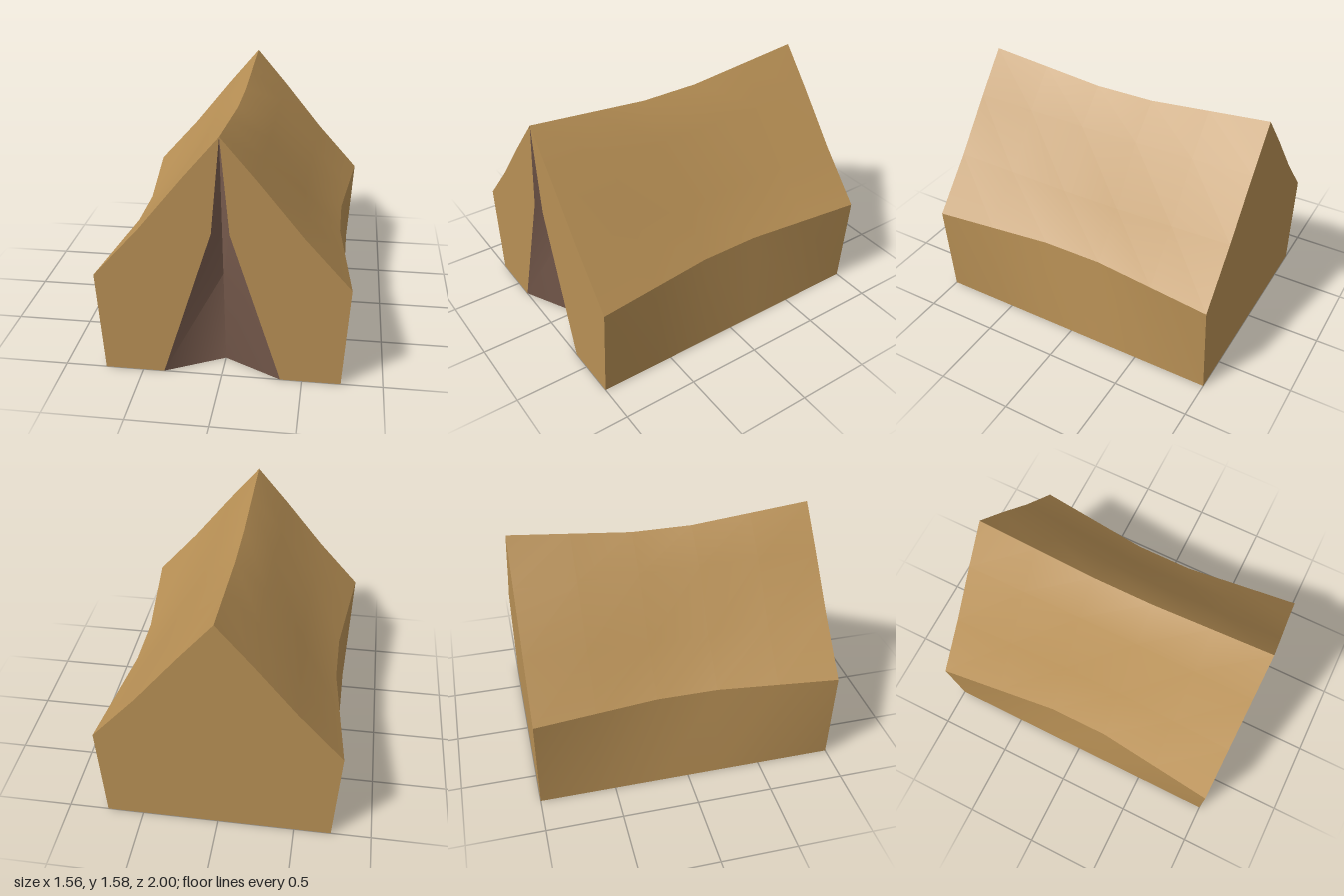
import * as THREE from 'three';
import { toCreasedNormals } from 'three/addons/utils/BufferGeometryUtils.js';

// Surface through rows of equally many points
function loft(rows, flip = false) {
  const n = rows[0].length, index = [];
  for (let i = 0; i < rows.length - 1; i++) {
    for (let j = 0; j < n - 1; j++) {
      const a = i * n + j, b = a + n, c = a + 1, d = b + 1;
      index.push(...(flip ? [a, c, b, b, c, d] : [a, b, c, b, d, c]));
    }
  }
  const g = new THREE.BufferGeometry();
  g.setAttribute('position', new THREE.Float32BufferAttribute(rows.flat(2), 3));
  g.setIndex(index);
  g.computeVertexNormals();
  return g;
}

const polygon = (pts) => new THREE.ShapeGeometry(new THREE.Shape(pts.map(([x, y]) => new THREE.Vector2(x, y))));
const mirrored = (pts) => pts.map(([x, y]) => [-x, y]).reverse();

export function createModel() {
  const canvas = new THREE.MeshStandardMaterial({ color: 0xb89055 });
  canvas.name = 'tan canvas';
  const lining = new THREE.MeshStandardMaterial({ color: 0x795c4e });
  lining.name = 'brown lining';

  const tent = new THREE.Group();
  tent.name = 'tent';
  const add = (name, geometry, material) => {
    const mesh = new THREE.Mesh(geometry, material);
    mesh.name = name;
    tent.add(mesh);
  };

  // Roof profile from ridge to eave, at the gables and sagging in the middle
  const gable = [[0, 1.58], [0.22, 1.32], [0.49, 0.985], [0.78, 0.66]];
  const sagged = [[0, 1.5], [0.21, 1.3], [0.45, 0.93], [0.69, 0.66]];
  const base = [0.74, 0];
  const stations = [-1, -0.6, -0.2, 0.2, 0.6, 1];
  const section = (z) => {
    const t = Math.max(0, (Math.abs(z) - 0.2) / 0.8);
    return sagged.map(([x, y], i) => [
      THREE.MathUtils.lerp(x, gable[i][0], t), THREE.MathUtils.lerp(y, gable[i][1], t)]);
  };

  // Roof slopes and side walls
  for (const side of [1, -1]) {
    const label = side > 0 ? 'left' : 'right';
    const place = (pts, z) => pts.map(([x, y]) => [side * x, y, z]);
    add(label + 'Roof', loft(stations.map((z) => place(section(z), z)), side < 0), canvas);
    add(label + 'Wall', loft(stations.map((z) => place([section(z)[3], base], z)), side < 0), canvas);
  }

  // Back gable
  const half = [...gable, base];
  const back = polygon([...half, ...mirrored(half.slice(1))]);
  back.rotateY(Math.PI);
  back.translate(0, 0, -1);
  add('backGable', back, canvas);

  // Front gable flaps on both sides of the opening
  const opening = [[0.366, 0], [0.157, 0.66], [0.055, 0.98]];
  const flap = [...half, ...opening];
  for (const [name, pts] of [['leftFlap', flap], ['rightFlap', mirrored(flap)]]) {
    const g = polygon(pts);
    g.translate(0, 0, 1);
    add(name, g, canvas);
  }

  // Entrance folded inward, deepest at the ground
  const rows = [...opening, [0, 1.58]].map(([x, y]) => [
    [x, y, 1], [0, y, 0.81 + 0.19 * y / 1.58], [-x, y, 1]]);
  add('entrance', toCreasedNormals(loft(rows), 1.2), lining);

  // Floor, notched at the entrance
  const floor = polygon([[-0.74, -1], [0.74, -1], [0.74, 1], [0.366, 1], [0, 0.81], [-0.366, 1], [-0.74, 1]]);
  floor.rotateX(Math.PI / 2);
  add('floor', floor, canvas);

  return tent;
}
